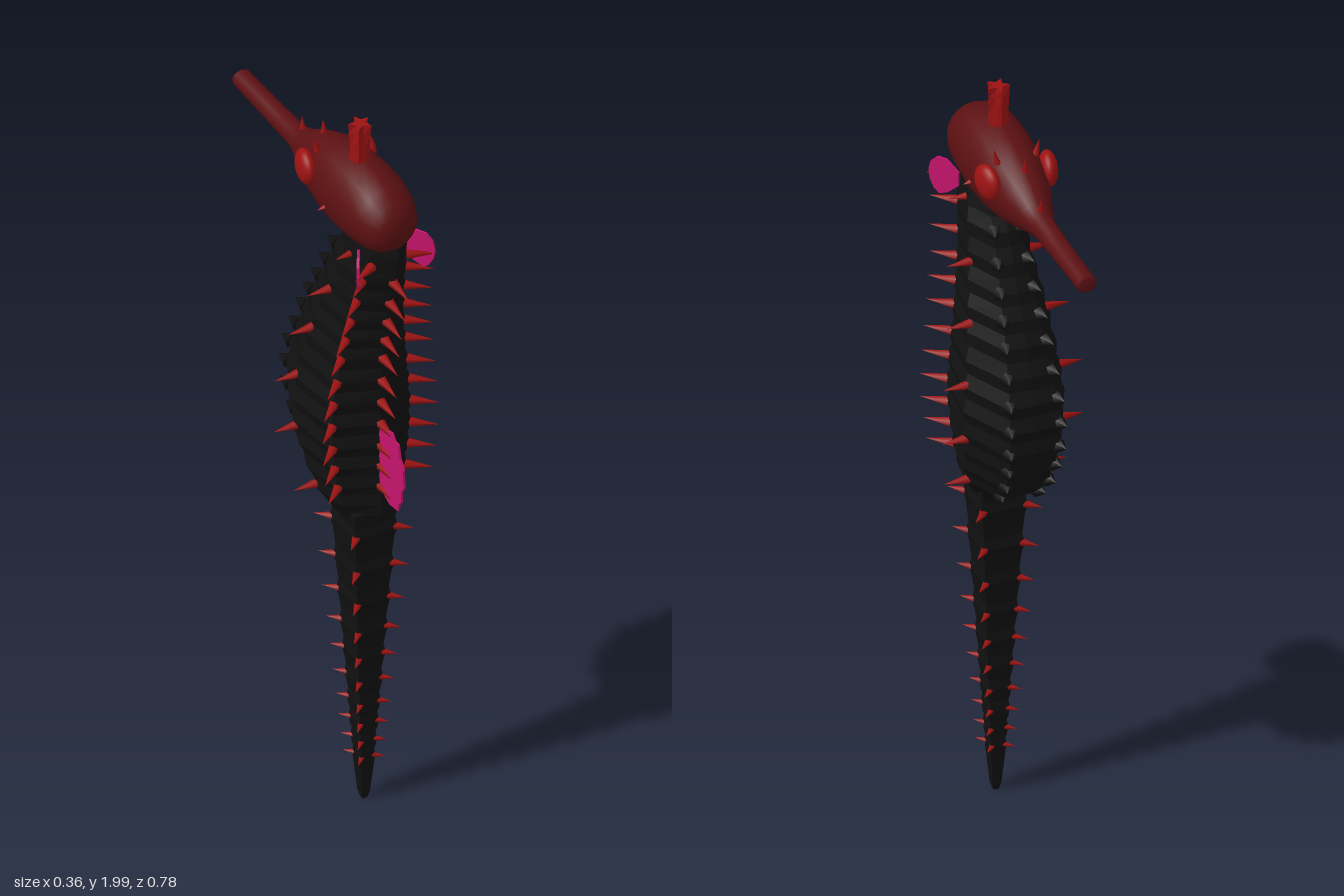
import * as THREE from 'three';

const mat = (name, color, side = THREE.FrontSide) =>
  Object.assign(new THREE.MeshStandardMaterial({ color, side }), { name });

// Skin a list of rings (each a list of [x, y, z]) and close both ends
function loft(rings, flat) {
  const n = rings[0].length, pos = rings.flat(2), idx = [];
  for (let j = 0; j < rings.length - 1; j++) for (let i = 0; i < n; i++) {
    const a = j * n + i, b = j * n + (i + 1) % n;
    idx.push(a, b, b + n, a, b + n, a + n);
  }
  [0, rings.length - 1].forEach((j, end) => {
    const c = pos.length / 3;
    for (let k = 0; k < 3; k++) pos.push(rings[j].reduce((s, p) => s + p[k], 0) / n);
    for (let i = 0; i < n; i++) {
      const a = j * n + i, b = j * n + (i + 1) % n;
      end ? idx.push(c, a, b) : idx.push(c, b, a);
    }
  });
  let g = new THREE.BufferGeometry();
  g.setAttribute('position', new THREE.Float32BufferAttribute(pos, 3));
  g.setIndex(idx);
  if (flat) g = g.toNonIndexed();
  g.computeVertexNormals();
  return g;
}

// Linear lookup in rows sorted by rising first column
function sample(rows, t) {
  let i = 0;
  while (i < rows.length - 2 && t > rows[i + 1][0]) i++;
  const f = THREE.MathUtils.clamp((t - rows[i][0]) / (rows[i + 1][0] - rows[i][0]), 0, 1);
  return rows[i].map((v, k) => v + (rows[i + 1][k] - v) * f);
}

// y, half width, front z, side ridge z, back z
const TRUNK = [
  [0.86, 0.055, 0.105, 0.165, 0.235], [0.9, 0.08, 0.06, 0.14, 0.25],
  [0.94, 0.1, 0.0, 0.11, 0.25], [1.0, 0.112, -0.04, 0.085, 0.25],
  [1.09, 0.125, -0.075, 0.06, 0.25], [1.17, 0.127, -0.08, 0.055, 0.25],
  [1.24, 0.122, -0.07, 0.06, 0.25], [1.39, 0.102, -0.015, 0.09, 0.26],
  [1.53, 0.08, 0.05, 0.14, 0.285], [1.63, 0.07, 0.095, 0.17, 0.31],
  [1.7, 0.06, 0.14, 0.2, 0.33], [1.76, 0.05, 0.16, 0.21, 0.32],
];
const RINGS = [0.93, 0.985, 1.045, 1.105, 1.17, 1.235, 1.3, 1.37, 1.43, 1.49, 1.555, 1.625];
const TAIL = [0.83, 0.72, 0.62, 0.53, 0.45, 0.375, 0.305, 0.245, 0.19, 0.14];
const tailSize = y => 0.011 + 0.047 * y / 0.86;

function trunkRing(y, k = 1) {
  const [, w0, f, s, b] = sample(TRUNK, y);
  const w = w0 * k, zf = s + (f - s) * k, zb = s + (b - s) * (0.5 + k / 2);
  return [[w, y, s], [w * 0.5, y, zf], [0, y, zf - 0.005], [-w * 0.5, y, zf],
    [-w, y, s], [-w * 0.86, y, zb - 0.045], [0, y, zb], [w * 0.86, y, zb - 0.045]];
}

export function createModel() {
  const root = new THREE.Group();
  root.name = 'seahorse';
  const black = mat('body black', 0x101010);
  const maroon = mat('head maroon', 0x5c1012);
  const red = mat('spine red', 0x9c1212);
  const pink = mat('fin pink', 0xc4146c, THREE.DoubleSide);

  const add = (name, geo, material, parent = root) => {
    const m = new THREE.Mesh(geo, material);
    m.name = name;
    parent.add(m);
    return m;
  };
  const group = name => {
    const g = new THREE.Group();
    g.name = name;
    root.add(g);
    return g;
  };
  const up = new THREE.Vector3(0, 1, 0);
  // Cone with its base sunk slightly under the skin
  const spike = (parent, p, dir, len, r, material = red) => {
    const geo = new THREE.ConeGeometry(r, len, 6).translate(0, len / 2 - 0.008, 0);
    const m = add('spine', geo, material, parent);
    m.position.set(...p);
    m.quaternion.setFromUnitVectors(up, new THREE.Vector3(...dir).normalize());
  };

  // Trunk with raised bony rings
  const rings = [trunkRing(0.86), trunkRing(0.895)];
  RINGS.forEach((y, i) => {
    rings.push(trunkRing(y, 1.02));
    rings.push(trunkRing((y + (RINGS[i + 1] ?? 1.69)) / 2, 0.95));
  });
  rings.push(trunkRing(1.71), trunkRing(1.76));
  add('trunk', loft(rings, true), black);

  // Square tail with a small ridge at each ring
  const tailRing = (y, h) => [[h, y, 0.168 - h], [-h, y, 0.168 - h], [-h, y, 0.168 + h], [h, y, 0.168 + h]];
  const tail = [tailRing(0.01, 0.006), tailRing(0.03, 0.011)];
  [...TAIL].reverse().forEach(y => tail.push(
    tailRing(y - 0.025, tailSize(y) * 0.95), tailRing(y, tailSize(y) * 1.06), tailRing(y + 0.025, tailSize(y) * 0.96)));
  tail.push(tailRing(0.9, 0.06));
  add('tail', loft(tail, true), black);

  // Tail spines on all four corners
  const tailSpines = group('tailSpines');
  for (const y of TAIL) for (const sx of [1, -1]) for (const sz of [1, -1]) {
    const h = tailSize(y);
    spike(tailSpines, [sx * h, y, 0.168 + sz * h], [sx, 0, sz], 0.03 + 0.025 * y, 0.007 + 0.005 * y);
  }

  // Trunk spines: back, back corners, sides, and black points on the belly
  const backSpines = group('backSpines'), cornerSpines = group('cornerSpines');
  const sideSpines = group('sideSpines'), bellyPoints = group('bellyPoints');
  RINGS.forEach((y, i) => {
    const p = trunkRing(y);
    if (i > 0) spike(backSpines, p[6], [0, -0.12, 1], 0.075, 0.013);
    for (const c of [7, 5]) if (i > 0) spike(cornerSpines, p[c], [Math.sign(p[c][0]), 0, 0.85], 0.075, 0.013);
    for (const c of [1, 3]) spike(bellyPoints, p[c], [Math.sign(p[c][0]) * 0.3, 0.15, -1], 0.034, 0.02, black);
  });
  for (const y of [0.94, 1.09, 1.24, 1.39, 1.53]) {
    const p = trunkRing(y);
    for (const c of [0, 4]) spike(sideSpines, p[c], [Math.sign(p[c][0]), 0, -0.03], 0.065, 0.012);
  }
  for (const s of [1, -1]) {
    spike(cornerSpines, [s * 0.055, 1.68, 0.29], [s, 0, 0.5], 0.075, 0.013);
    spike(sideSpines, [s * 0.06, 1.67, 0.205], [s, 0, 0.1], 0.05, 0.011);
  }

  // Head and snout: z, half width, bottom y, top y
  const HEAD = [
    [-0.4, 0.022, 1.752, 1.79], [-0.394, 0.025, 1.748, 1.794], [-0.25, 0.026, 1.743, 1.796],
    [-0.13, 0.028, 1.737, 1.802], [-0.09, 0.04, 1.728, 1.818], [-0.04, 0.058, 1.712, 1.85],
    [0.02, 0.074, 1.695, 1.878], [0.08, 0.083, 1.684, 1.894], [0.15, 0.087, 1.682, 1.9],
    [0.22, 0.086, 1.69, 1.898], [0.27, 0.08, 1.703, 1.882], [0.305, 0.066, 1.72, 1.86],
    [0.324, 0.045, 1.74, 1.835], [0.331, 0.02, 1.765, 1.81],
  ];
  add('head', loft(HEAD.map(([z, w, lo, hi]) => Array.from({ length: 20 }, (_, i) => {
    const a = i / 20 * Math.PI * 2;
    return [w * Math.cos(a), (lo + hi) / 2 + (hi - lo) / 2 * Math.sin(a), z];
  }))), maroon);

  // Eyes and small head spines
  const headSpines = group('headSpines');
  for (const s of [1, -1]) {
    const eye = add(s > 0 ? 'leftEye' : 'rightEye', new THREE.SphereGeometry(1, 20, 14), red);
    eye.scale.set(0.023, 0.045, 0.045);
    eye.position.set(s * 0.077, 1.82, 0.03);
    eye.rotation.y = s * 0.2;
    spike(headSpines, [s * 0.05, 1.868, 0.038], [s * 0.25, 1, 0], 0.045, 0.009);
    spike(headSpines, [s * 0.08, 1.765, 0.125], [s, -0.2, 0], 0.03, 0.009);
  }
  spike(headSpines, [0, 1.805, -0.112], [0, 1, -0.1], 0.045, 0.01);
  spike(headSpines, [0, 1.86, -0.015], [0, 1, -0.1], 0.045, 0.01);

  // Star-topped coronet
  const star = (y, out, inn) => Array.from({ length: 10 }, (_, i) => {
    const a = Math.PI / 2 + i * Math.PI / 5, r = i % 2 ? inn : out;
    return [r * Math.cos(a), y, 0.152 - r * Math.sin(a)];
  });
  add('coronet', loft([star(1.88, 0.026, 0.024), star(1.93, 0.025, 0.021),
    star(1.975, 0.027, 0.018), star(2, 0.029, 0.013)], true), red);

  // Fins as thin plates with scalloped rims
  const plate = pts => new THREE.ExtrudeGeometry(
    new THREE.Shape(pts.map(p => new THREE.Vector2(...p))), { depth: 0.006, bevelEnabled: false }).translate(0, 0, -0.003);
  const dorsal = add('dorsalFin', plate([[0.23, 1.0], [0.26, 0.975], [0.29, 0.96], [0.33, 0.965], [0.335, 0.99],
    [0.345, 1.0], [0.345, 1.03], [0.358, 1.05], [0.353, 1.085], [0.355, 1.1], [0.338, 1.125],
    [0.33, 1.16], [0.315, 1.16], [0.3, 1.178], [0.27, 1.168], [0.23, 1.17]]), pink);
  dorsal.rotation.y = -Math.PI / 2;
  for (const s of [1, -1]) {
    const fin = add(s > 0 ? 'leftPectoralFin' : 'rightPectoralFin', plate([[0, -0.012], [0.03, -0.04], [0.055, -0.052],
      [0.07, -0.042], [0.082, -0.02], [0.086, 0.005], [0.08, 0.03], [0.062, 0.048], [0.035, 0.05], [0, 0.025]]), pink);
    fin.position.set(s * 0.06, 1.685, 0.247);
    fin.rotation.y = s > 0 ? -Math.PI * 0.32 : -Math.PI * 0.68;
  }
  return root;
}
